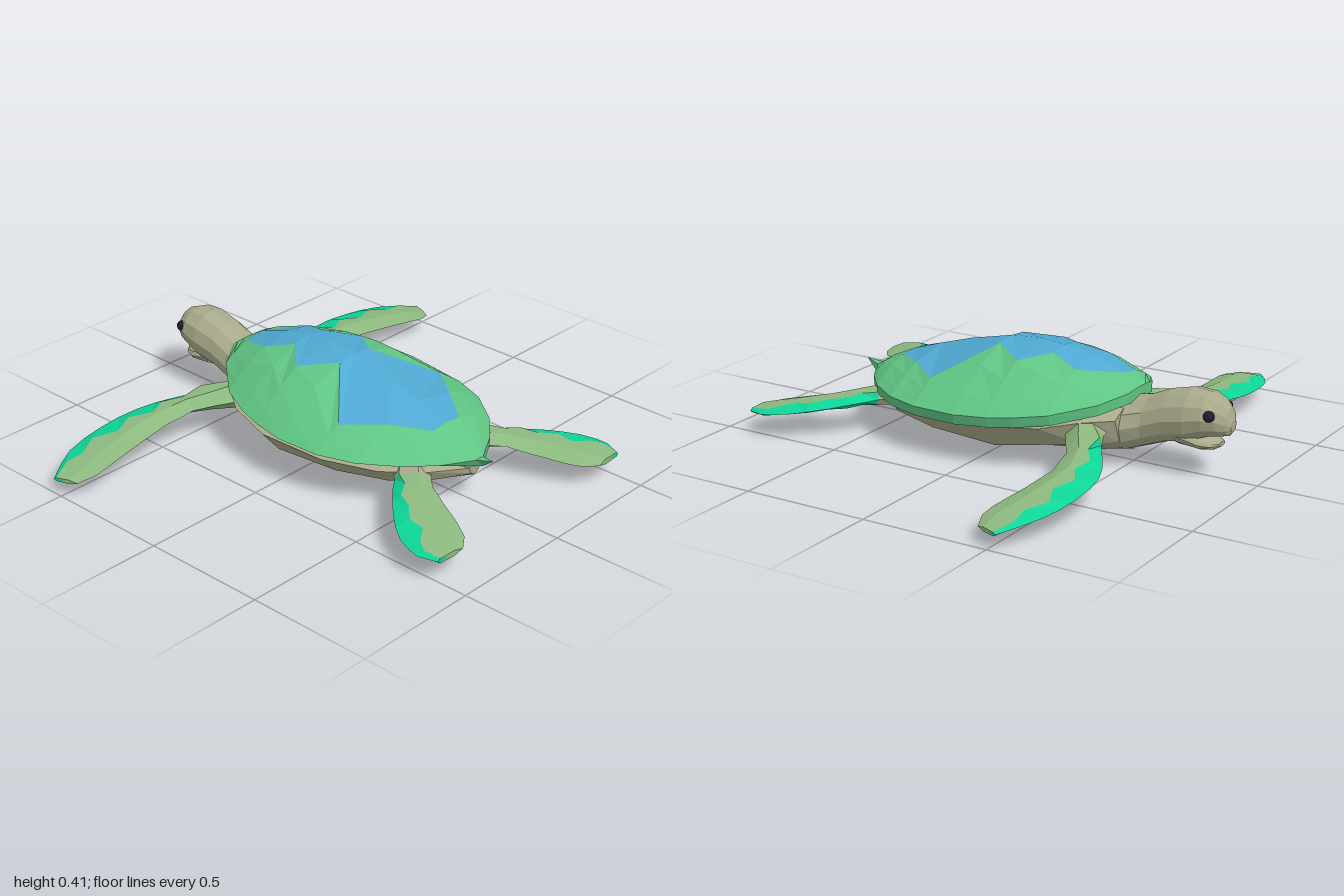
import * as THREE from 'three';

const mat = (name, color, extra = {}) => {
  const m = new THREE.MeshStandardMaterial({ color, flatShading: true, ...extra });
  m.name = name;
  return m;
};

// Joins a run of closed rings with faces; pick(i, j) gives the material of each face.
// Rings run counter-clockwise when seen from the far end. Both ends are capped.
function loft(name, rings, pick, mirror = 1) {
  const buckets = new Map();
  const tri = (m, a, b, c) => {
    const area = new THREE.Triangle(a, b, c).getArea();
    if (area < 1e-8) return;
    if (!buckets.has(m)) buckets.set(m, []);
    for (const p of mirror > 0 ? [a, b, c] : [a, c, b]) buckets.get(m).push(p.x * mirror, p.y, p.z);
  };
  const n = rings[0].length;
  for (let i = 0; i < rings.length - 1; i++) {
    for (let j = 0; j < n; j++) {
      const k = (j + 1) % n, m = pick(i, j);
      const a = rings[i][j], b = rings[i][k], c = rings[i + 1][k], d = rings[i + 1][j];
      tri(m, a, b, c);
      tri(m, a, c, d);
    }
  }
  const last = rings.length - 1;
  for (const [r, flip, i] of [[rings[0], true, 0], [rings[last], false, last - 1]]) {
    const mid = r.reduce((s, p) => s.add(p), new THREE.Vector3()).divideScalar(n);
    for (let j = 0; j < n; j++) {
      const a = r[j], b = r[(j + 1) % n];
      if (flip) tri(pick(i, j), mid, b, a);
      else tri(pick(i, j), mid, a, b);
    }
  }
  const group = new THREE.Group();
  group.name = name;
  for (const [m, pos] of buckets) {
    const g = new THREE.BufferGeometry();
    g.setAttribute('position', new THREE.Float32BufferAttribute(pos, 3));
    g.computeVertexNormals();
    const mesh = new THREE.Mesh(g, m);
    mesh.name = `${name} ${m.name}`;
    group.add(mesh);
  }
  return group;
}

const V = (x, y, z) => new THREE.Vector3(x, y, z);

// Completes a right-hand half outline (bottom to top) with its mirror image
const mirrorRing = (half) => [
  ...half,
  ...half.slice().reverse().filter((p) => p.x > 1e-6).map((p) => V(-p.x, p.y, p.z)),
];

export function createModel() {
  const shellGreen = mat('shell green', 0x60c584);
  const shellBlue = mat('shell blue', 0x4fa9d2);
  const skin = mat('skin', 0xa9aa8b);
  const flipperGreen = mat('flipper green', 0x8cb87e);
  const teal = mat('teal edge', 0x0dd598);
  const eyeDark = mat('eye dark', 0x231b2c);

  const model = new THREE.Group();
  model.name = 'turtle';

  // Shell: z, half width, rim bottom, ridge height, stripe half width
  const shell = [
    [-0.52, 0.09, 0.25, 0.295, 0], [-0.455, 0.2, 0.225, 0.335, 0],
    [-0.32, 0.315, 0.195, 0.38, 0.125], [-0.2, 0.365, 0.18, 0.4, 0.08],
    [-0.1, 0.39, 0.17, 0.41, 0.175], [0.03, 0.408, 0.163, 0.4, 0.08],
    [0.21, 0.395, 0.16, 0.36, 0.28], [0.35, 0.345, 0.158, 0.318, 0.171],
    [0.48, 0.25, 0.155, 0.275, 0.07], [0.57, 0.145, 0.15, 0.235, 0.05],
    [0.64, 0.02, 0.148, 0.19, 0.01],
  ];
  const shellRings = shell.map(([z, w, rim, top, s]) => {
    const edge = rim + 0.04;
    const dome = (x) => V(x, edge + (top - edge) * Math.pow(Math.max(0, 1 - (x / w) ** 2), 1.05), z);
    const half = [V(w * 0.97, rim, z)];
    for (const f of [1, 0.78, 0.42, 0]) half.push(dome(s + (w - s) * f));
    half.push(dome(0));
    return mirrorRing(half);
  });
  model.add(loft('shell', shellRings, (i, j) =>
    i >= 1 && i < 8 && (j === 4 || j === 5) ? shellBlue : shellGreen));

  // Belly: z, half width, keel height, rim height
  const belly = [
    [-0.5, 0.15, 0.05, 0.2], [-0.4, 0.24, 0.03, 0.2], [-0.28, 0.32, 0.04, 0.18],
    [-0.08, 0.38, 0.005, 0.17], [0.2, 0.365, 0.03, 0.165], [0.4, 0.285, 0.05, 0.16],
    [0.52, 0.18, 0.075, 0.155], [0.62, 0.03, 0.115, 0.152],
  ];
  model.add(loft('belly', belly.map(([z, w, yb, yr]) => {
    const h = yr - yb;
    return mirrorRing([
      V(0, yb, z), V(w * 0.4, yb + h * 0.17, z), V(w * 0.78, yb + h * 0.42, z),
      V(w, yr, z), V(w * 0.6, yr + 0.03, z), V(0, yr + 0.04, z),
    ]);
  }), () => skin));

  // Head, neck and jaw: z, half width, top, bottom
  const oval = ([z, w, top, bottom]) => Array.from({ length: 12 }, (_, k) => {
    const a = (k / 12) * Math.PI * 2;
    return V(w * Math.cos(a), (top + bottom) / 2 + ((top - bottom) / 2) * Math.sin(a), z);
  });
  const head = [
    [-0.898, 0.022, 0.235, 0.19], [-0.885, 0.045, 0.275, 0.172], [-0.855, 0.072, 0.308, 0.165],
    [-0.81, 0.095, 0.326, 0.158], [-0.74, 0.104, 0.332, 0.125], [-0.65, 0.1, 0.31, 0.11],
    [-0.57, 0.1, 0.275, 0.08], [-0.5, 0.125, 0.262, 0.055], [-0.4, 0.15, 0.25, 0.05],
  ];
  model.add(loft('head and neck', head.map(oval), () => skin));
  const jaw = [
    [-0.855, 0.025, 0.145, 0.128], [-0.835, 0.05, 0.15, 0.116],
    [-0.79, 0.07, 0.165, 0.11], [-0.7, 0.075, 0.2, 0.115],
  ];
  model.add(loft('jaw', jaw.map(oval), () => skin));

  // Flippers: leading x, z, trailing x, z, teal share, height, thickness
  const front = [
    [0.1, -0.46, 0.12, -0.28, 0.3, 0.15, 0.11], [0.19, -0.48, 0.23, -0.34, 0.3, 0.155, 0.1],
    [0.28, -0.52, 0.31, -0.39, 0.06, 0.15, 0.075], [0.36, -0.57, 0.39, -0.44, 0.4, 0.14, 0.06],
    [0.43, -0.61, 0.45, -0.448, 0.28, 0.13, 0.055], [0.5, -0.637, 0.51, -0.46, 0.52, 0.12, 0.05],
    [0.58, -0.65, 0.59, -0.452, 0.3, 0.112, 0.05], [0.67, -0.65, 0.67, -0.445, 0.46, 0.104, 0.045],
    [0.76, -0.642, 0.76, -0.433, 0.22, 0.096, 0.04], [0.85, -0.62, 0.84, -0.422, 0.35, 0.088, 0.035],
    [0.92, -0.585, 0.9, -0.42, 0.16, 0.078, 0.03], [1.0, -0.535, 0.965, -0.445, 0.1, 0.064, 0.016],
  ];
  const hind = [
    [0.2, 0.4, 0.08, 0.48, 0.2, 0.14, 0.08], [0.26, 0.465, 0.17, 0.56, 0.12, 0.14, 0.06],
    [0.31, 0.5, 0.205, 0.6, 0.3, 0.136, 0.055], [0.36, 0.545, 0.22, 0.635, 0.18, 0.13, 0.05],
    [0.42, 0.6, 0.24, 0.675, 0.32, 0.122, 0.047], [0.468, 0.655, 0.265, 0.73, 0.25, 0.115, 0.044],
    [0.507, 0.71, 0.285, 0.775, 0.4, 0.108, 0.04], [0.53, 0.77, 0.305, 0.81, 0.22, 0.102, 0.036],
    [0.537, 0.815, 0.33, 0.85, 0.14, 0.097, 0.032], [0.51, 0.885, 0.385, 0.89, 0.08, 0.092, 0.022],
  ];
  const blade = ([lx, lz, tx, tz, f, y, th]) => {
    const at = (t, lift) => V(lx + (tx - lx) * t, y + (lift * th) / 2, lz + (tz - lz) * t);
    return [at(0, 0), at(f, 0.85), at(0.65, 1), at(1, 0), at(0.65, -1), at(f, -0.85)];
  };
  for (const [side, label] of [[1, 'left'], [-1, 'right']]) {
    for (const [name, rows, green, edge] of [['front flipper', front, 1, 2], ['hind flipper', hind, 1, 1]]) {
      model.add(loft(`${label} ${name}`, rows.map(blade), (i, j) => {
        if (i < green) return skin;
        return i >= edge && (j === 0 || j === 5) ? teal : flipperGreen;
      }, side));
    }

    // Eye
    const eye = new THREE.Mesh(new THREE.IcosahedronGeometry(0.022, 1), eyeDark);
    eye.name = `${label} eye`;
    eye.position.set(side * 0.073, 0.256, -0.835);
    model.add(eye);
  }
  return model;
}
